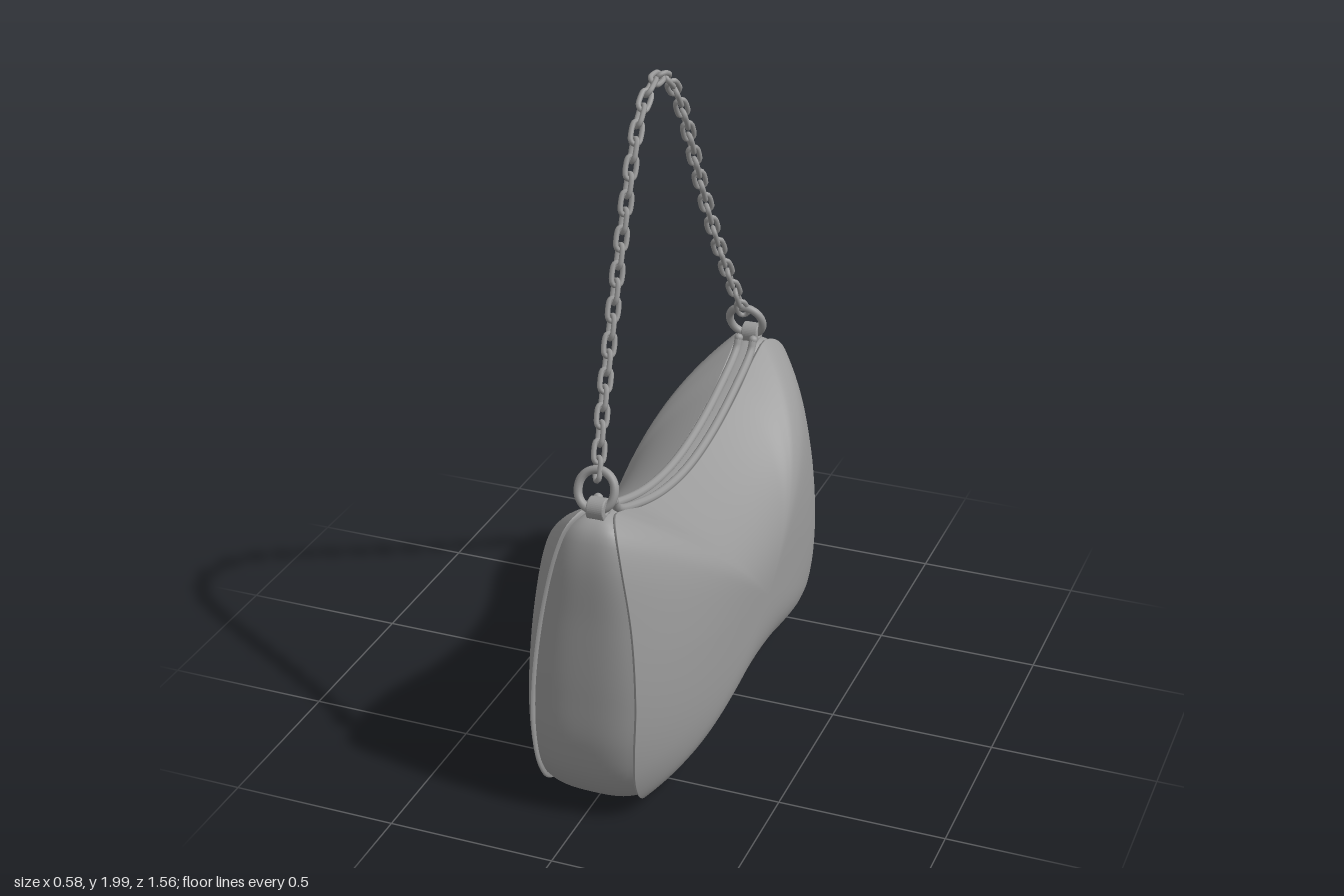
import * as THREE from 'three';

const V = (x, y, z) => new THREE.Vector3(x, y, z);

// Half of the seam outline, top centre to bottom centre: [half width of gusset, y, z]
const HALF = [
  [0.04, 0.765, 0], [0.04, 0.785, 0.2], [0.04, 0.838, 0.4], [0.042, 0.9, 0.55], [0.05, 0.922, 0.625],
  [0.075, 0.895, 0.68], [0.1, 0.82, 0.71], [0.14, 0.62, 0.732], [0.16, 0.4, 0.755], [0.158, 0.24, 0.764],
  [0.152, 0.13, 0.745], [0.147, 0.05, 0.69], [0.142, 0.017, 0.6], [0.142, 0.016, 0.5], [0.145, 0.035, 0.35],
  [0.148, 0.06, 0.2], [0.15, 0.072, 0],
];
const COLS = 200;
const CENTRE_Y = 0.38;
const MAX_X = 0.288;

// Smooth grid whose columns wrap around
function loft(rows, cols, fn) {
  const pos = [], idx = [];
  for (let i = 0; i < rows; i++) {
    for (let j = 0; j < cols; j++) pos.push(...fn(i / (rows - 1), j, i));
  }
  for (let i = 0; i < rows - 1; i++) {
    for (let j = 0; j < cols; j++) {
      const k = (j + 1) % cols;
      const a = i * cols + j, b = (i + 1) * cols + j, c = (i + 1) * cols + k, d = i * cols + k;
      idx.push(a, b, c, a, c, d);
    }
  }
  const g = new THREE.BufferGeometry();
  g.setAttribute('position', new THREE.Float32BufferAttribute(pos, 3));
  g.setIndex(idx);
  g.computeVertexNormals();
  return g;
}

// Closed rounded link of wire, long along y
function linkGeometry(w, h, wire, segs, sides) {
  const r = w / 2, s = h / 2 - r, pts = [];
  for (let i = 0; i < 12; i++) {
    const a = ((i + 0.5) / 12) * Math.PI * 2;
    pts.push(V(Math.cos(a) * r, Math.sin(a) * r + Math.sign(Math.sin(a)) * s, 0));
  }
  return new THREE.TubeGeometry(new THREE.CatmullRomCurve3(pts, true), segs, wire, sides, true);
}

export function createModel() {
  const model = new THREE.Group();
  model.name = 'handbag';
  const grey = new THREE.MeshStandardMaterial({ color: 0x999999 });
  grey.name = 'plain grey';
  const add = (geometry, name, parent = model) => {
    const m = new THREE.Mesh(geometry, grey);
    m.name = name;
    parent.add(m);
    return m;
  };

  // Seam outline and its outward directions
  const mirrored = HALF.slice(1, -1).reverse().map(([x, y, z]) => [x, y, -z]);
  const outline = new THREE.CatmullRomCurve3([...HALF, ...mirrored].map((p) => V(...p)), true);
  const seam = [], out = [];
  for (let j = 0; j < COLS; j++) {
    seam.push(outline.getPointAt(j / COLS));
    const t = outline.getTangentAt(j / COLS);
    out.push(V(0, t.z, -t.y).normalize());
  }

  // Bulging side panels, each with a rim folded into the seam
  const RINGS = 30;
  const panelPoint = (i, j, side) => {
    const e = seam[j], n = out[j];
    if (i > RINGS) {
      const d = i === RINGS + 1 ? 0.004 : 0.025;
      return [side * (e.x - (i === RINGS + 1 ? 0.007 : 0.009)), e.y - n.y * d, e.z - n.z * d];
    }
    const r = Math.sin((i / RINGS) * Math.PI / 2);
    const power = 2.4 + 1.2 * Math.min(1, e.x / 0.15);
    const x = e.x + (MAX_X - e.x) * (1 - Math.pow(r, power));
    return [side * x, CENTRE_Y + (e.y - CENTRE_Y) * r, e.z * r];
  };
  const rows = RINGS + 3;
  add(loft(rows, COLS, (u, j, i) => panelPoint(i, j, 1)), 'leftPanel');
  add(loft(rows, COLS, (u, j, i) => panelPoint(rows - 1 - i, j, -1)), 'rightPanel');

  // Gusset band around the ends, the bottom and under the zip
  add(loft(17, COLS, (u, j) => {
    const e = seam[j], n = out[j], s = 1 - 2 * u;
    const d = -0.014 + (1 - Math.pow(Math.abs(s), 3)) * (0.008 + 0.12 * e.x);
    return [s * (e.x - 0.004), e.y + n.y * d, e.z + n.z * d];
  }), 'gusset');

  // Pair of rolled lips along the opening
  const lipEnd = [[0.938, 0.572], [0.905, 0.55], [0.842, 0.4], [0.787, 0.2]];
  const lipPts = [
    ...lipEnd.map(([y, z]) => [y, -z]), [0.767, 0], ...lipEnd.slice().reverse(),
  ];
  for (const side of [1, -1]) {
    const path = new THREE.CatmullRomCurve3(lipPts.map(([y, z]) => V(side * 0.024, y, z)));
    add(new THREE.TubeGeometry(path, 60, 0.013, 10, false), side > 0 ? 'leftLip' : 'rightLip');
    for (const end of [1, -1]) {
      add(new THREE.SphereGeometry(0.014, 12, 8), 'lipEnd').position.set(side * 0.024, 0.938, end * 0.572);
    }
  }

  // Rings held by leather tabs at both shoulders
  const ringGeo = linkGeometry(0.108, 0.115, 0.0125, 48, 10);
  const tabShape = new THREE.Shape();
  tabShape.absarc(0, 0, 0.03, 0, Math.PI * 2);
  const tabHole = new THREE.Path();
  tabHole.absarc(0, 0, 0.016, 0, Math.PI * 2, true);
  tabShape.holes.push(tabHole);
  const tabGeo = new THREE.ExtrudeGeometry(tabShape, {
    depth: 0.044, bevelEnabled: true, bevelSize: 0.003, bevelThickness: 0.004, bevelSegments: 2, curveSegments: 20,
  });
  tabGeo.translate(0, 0, -0.022);
  tabGeo.rotateY(Math.PI / 2);
  for (const end of [1, -1]) {
    const mount = new THREE.Group();
    mount.name = end > 0 ? 'frontMount' : 'backMount';
    model.add(mount);
    add(tabGeo, 'tab', mount).position.set(0, 0.937, end * 0.628);
    const ring = add(ringGeo, 'ring', mount);
    ring.position.set(-0.013, 0.983, end * 0.61);
    ring.rotation.x = -end * 0.38;
  }

  // Chain handle of alternating links
  const rise = [
    [-0.018, 1.035, 0.585], [-0.035, 1.18, 0.505], [-0.05, 1.37, 0.405], [-0.06, 1.58, 0.305],
    [-0.066, 1.8, 0.2], [-0.07, 1.905, 0.13], [-0.07, 1.962, 0.055],
  ];
  const chainPath = new THREE.CatmullRomCurve3([
    ...rise.map((p) => V(...p)), V(-0.07, 1.975, 0),
    ...rise.slice().reverse().map(([x, y, z]) => V(x, y, -z)),
  ]);
  const chain = new THREE.Group();
  chain.name = 'chainHandle';
  model.add(chain);
  const linkGeo = linkGeometry(0.03, 0.066, 0.0078, 24, 7);
  const COUNT = 47;
  const up = V(0, 1, 0);
  for (let i = 0; i < COUNT; i++) {
    const u = i / (COUNT - 1);
    const link = add(linkGeo, 'chainLink', chain);
    link.position.copy(chainPath.getPointAt(u));
    link.quaternion.setFromUnitVectors(up, chainPath.getTangentAt(u));
    link.rotateY((i % 2 ? 1 : -1) * Math.PI / 4);
  }
  return model;
}
